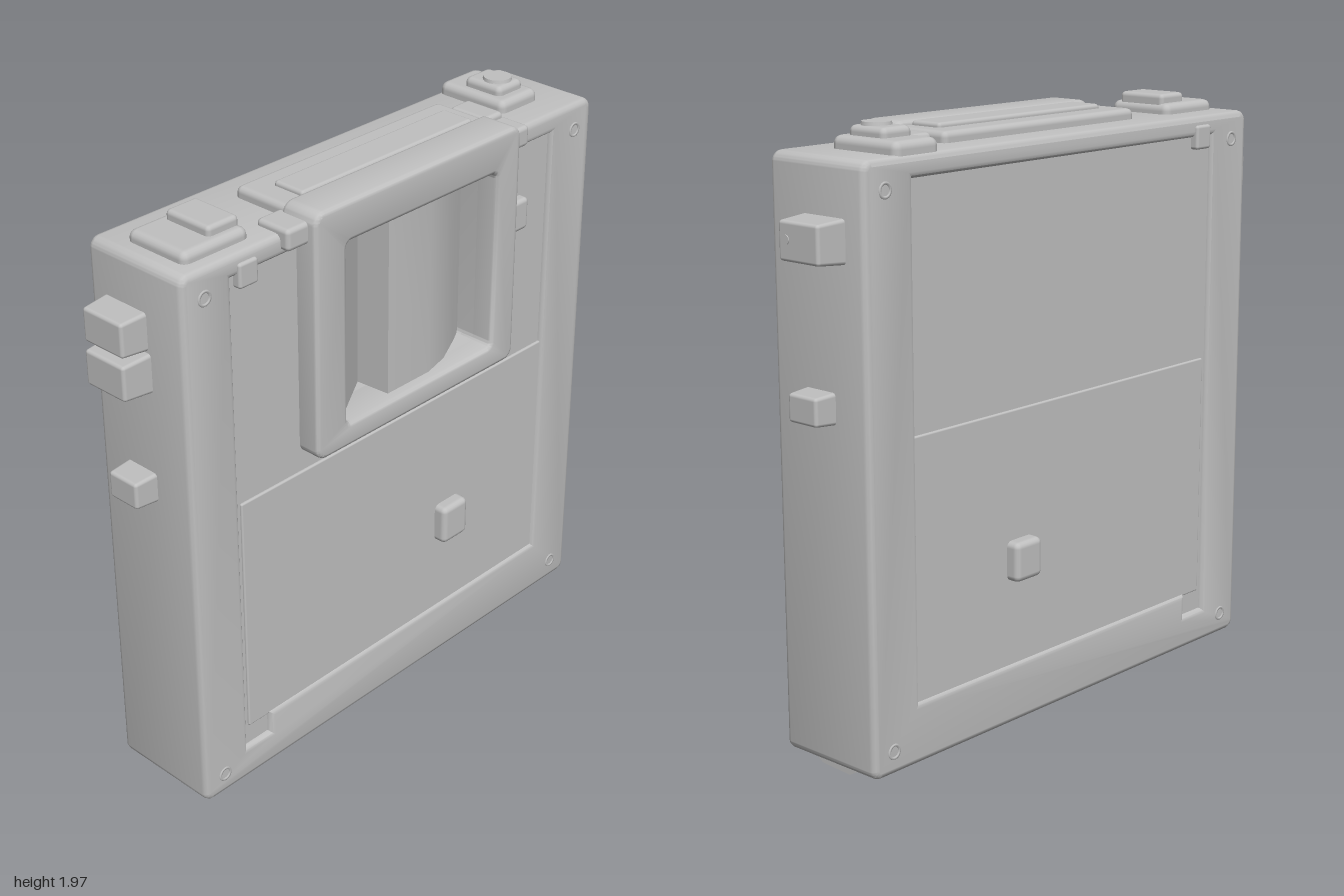
import * as THREE from 'three';
import { toCreasedNormals } from 'three/addons/utils/BufferGeometryUtils.js';
import { RoundedBoxGeometry } from 'three/addons/geometries/RoundedBoxGeometry.js';

// Rounded rectangle outline from two corners
function roundRect(x0, y0, x1, y1, r, Type = THREE.Shape) {
  const s = new Type();
  s.absarc(x1 - r, y0 + r, r, -Math.PI / 2, 0);
  s.absarc(x1 - r, y1 - r, r, 0, Math.PI / 2);
  s.absarc(x0 + r, y1 - r, r, Math.PI / 2, Math.PI);
  s.absarc(x0 + r, y0 + r, r, Math.PI, Math.PI * 1.5);
  s.closePath();
  return s;
}

// Shape extruded between two depths, with an inset rounded edge
function slab(shape, z0, z1, bevel = 0) {
  const g = new THREE.ExtrudeGeometry(shape, {
    depth: z1 - z0 - 2 * bevel, bevelEnabled: bevel > 0, bevelThickness: bevel,
    bevelSize: bevel, bevelOffset: -bevel, bevelSegments: 3, curveSegments: 6,
  });
  g.translate(0, 0, z0 + bevel);
  return toCreasedNormals(g, 0.6);
}

export function createModel() {
  const model = new THREE.Group();
  const grey = new THREE.MeshStandardMaterial({ color: 0xc0c0c0 });
  grey.name = 'light grey';

  const add = (name, geometry) => {
    const mesh = new THREE.Mesh(geometry, grey);
    mesh.name = name;
    model.add(mesh);
    return mesh;
  };
  // Soft-edged block from opposite corners
  const block = (name, x0, x1, y0, y1, z0, z1, r = 0.015) =>
    add(name, new RoundedBoxGeometry(x1 - x0, y1 - y0, z1 - z0, 2, r)
      .translate((x0 + x1) / 2, (y0 + y1) / 2, (z0 + z1) / 2));

  // Case frame, open in the middle, with a notch at the lower corner
  const frame = roundRect(-0.9, 0.03, 0.9, 1.89, 0.035);
  frame.holes.push(new THREE.Path([
    [-0.71, 0.15], [-0.61, 0.15], [-0.61, 0.23], [0.7, 0.23], [0.7, 1.82], [-0.71, 1.82],
  ].map(([x, y]) => new THREE.Vector2(x, y))));
  add('caseFrame', slab(frame, -0.21, 0.18, 0.02));

  // Recessed panels; the front one is cut for the pockets
  const panel = roundRect(-0.75, 0.1, 0.74, 1.85, 0.01);
  panel.holes.push(roundRect(-0.31, 1.2, 0.36, 1.81, 0.02, THREE.Path));
  add('frontPanel', slab(panel, 0.03, 0.162));
  add('backPanel', slab(roundRect(-0.75, 0.1, 0.74, 1.85, 0.01), -0.193, 0));
  block('lowerFrontPanel', -0.695, 0.72, 0.22, 1.06, 0.14, 0.17, 0.006);
  block('lowerBackPanel', -0.695, 0.72, 0.22, 1.06, -0.2, -0.17, 0.006);

  // Stepped keel along the underside
  const keel = new THREE.Shape([
    [-0.18, 0.06], [-0.165, 0.03], [-0.09, 0.025], [-0.06, 0.005], [0.06, 0],
    [0.1, 0.022], [0.185, 0.03], [0.2, 0.06],
  ].map(([x, y]) => new THREE.Vector2(x, y)));
  add('keel', slab(keel, -0.86, 0.86).rotateY(Math.PI / 2));

  // Raised housing with its window
  const housing = roundRect(-0.44, 1.12, 0.47, 1.94, 0.04);
  housing.holes.push(roundRect(-0.31, 1.2, 0.36, 1.81, 0.02, THREE.Path));
  add('housingFrame', slab(housing, 0.1, 0.24, 0.015));
  block('housingTop', -0.43, 0.46, 1.84, 1.925, -0.1, 0.2, 0.02);
  block('housingTopRidge', -0.35, 0.4, 1.88, 1.94, -0.02, 0.1, 0.012);

  // Sloping pocket floors either side of a flat divider
  const floor = new THREE.Shape([
    [-0.32, 0], [-0.32, 0.215], [-0.1, 0.08], [-0.09, 0.2], [0.1, 0.2],
    [0.2, 0.175], [0.3, 0.125], [0.365, 0.09], [0.365, 0],
  ].map(([x, z]) => new THREE.Vector2(x, -z)));
  add('pocketFloor', slab(floor, 1.19, 1.82).rotateX(-Math.PI / 2));
  block('housingLip', -0.06, 0.45, 1.07, 1.105, 0.15, 0.178, 0.008);

  // Top fittings
  block('rightCapBase', -0.84, -0.59, 1.85, 1.925, -0.11, 0.13, 0.025);
  block('rightCap', -0.72, -0.6, 1.89, 1.955, -0.08, 0.1, 0.015);
  block('leftCapBase', 0.58, 0.76, 1.85, 1.93, -0.2, 0.07, 0.025);
  block('leftCap', 0.61, 0.73, 1.89, 1.96, -0.12, 0.03, 0.02);
  add('leftCapButton', new THREE.CylinderGeometry(0.045, 0.055, 0.05, 20).translate(0.67, 1.945, -0.03));
  block('rightHinge', -0.52, -0.42, 1.84, 1.91, 0.08, 0.21);
  block('leftHinge', 0.45, 0.56, 1.83, 1.9, 0.08, 0.2);
  block('leftHingeLug', 0.46, 0.55, 1.86, 1.92, -0.05, 0.1);
  for (const z of [0.165, -0.195]) {
    block('cornerTab', -0.69, -0.615, 1.78, 1.86, z - 0.025, z + 0.025, 0.01);
  }

  // Buttons on the two sides: tapered towards the outer end
  const button = (name, side, reach, y, h, z, d) => {
    const g = new RoundedBoxGeometry(reach + 0.03, h, d, 2, 0.012);
    const p = g.attributes.position;
    for (let i = 0; i < p.count; i++) {
      if (p.getX(i) * side > 0) p.setXYZ(i, p.getX(i), p.getY(i) * 0.88, p.getZ(i) * 0.92);
    }
    add(name, g.translate(side * (0.885 + reach / 2), y, z));
  };
  button('leftUpperButton', 1, 0.1, 1.655, 0.135, -0.045, 0.18);
  button('leftLowerButton', 1, 0.075, 1.16, 0.1, -0.015, 0.13);
  button('rightUpperButton', -1, 0.09, 1.67, 0.125, -0.06, 0.18);
  button('rightMiddleButton', -1, 0.1, 1.54, 0.13, -0.05, 0.18);
  button('rightLowerButton', -1, 0.08, 1.155, 0.1, -0.03, 0.13);
  add('leftButtonStud', new THREE.CylinderGeometry(0.015, 0.015, 0.01, 12)
    .rotateZ(Math.PI / 2).translate(0.998, 1.66, 0.005));

  // Small catches on the faces
  block('frontCatch', 0.18, 0.3, 0.5, 0.64, 0.14, 0.215, 0.02);
  block('backCatch', 0.18, 0.3, 0.51, 0.64, -0.245, -0.17, 0.02);
  block('upperCatch', 0.48, 0.58, 1.535, 1.645, 0.13, 0.195);

  // Corner screws on both faces
  for (const z of [0.178, -0.208]) {
    for (const x of [-0.815, 0.815]) {
      for (const y of [0.105, 1.8]) {
        add('screw', new THREE.TorusGeometry(0.021, 0.006, 6, 18).translate(x, y, z));
      }
    }
  }
  return model;
}
